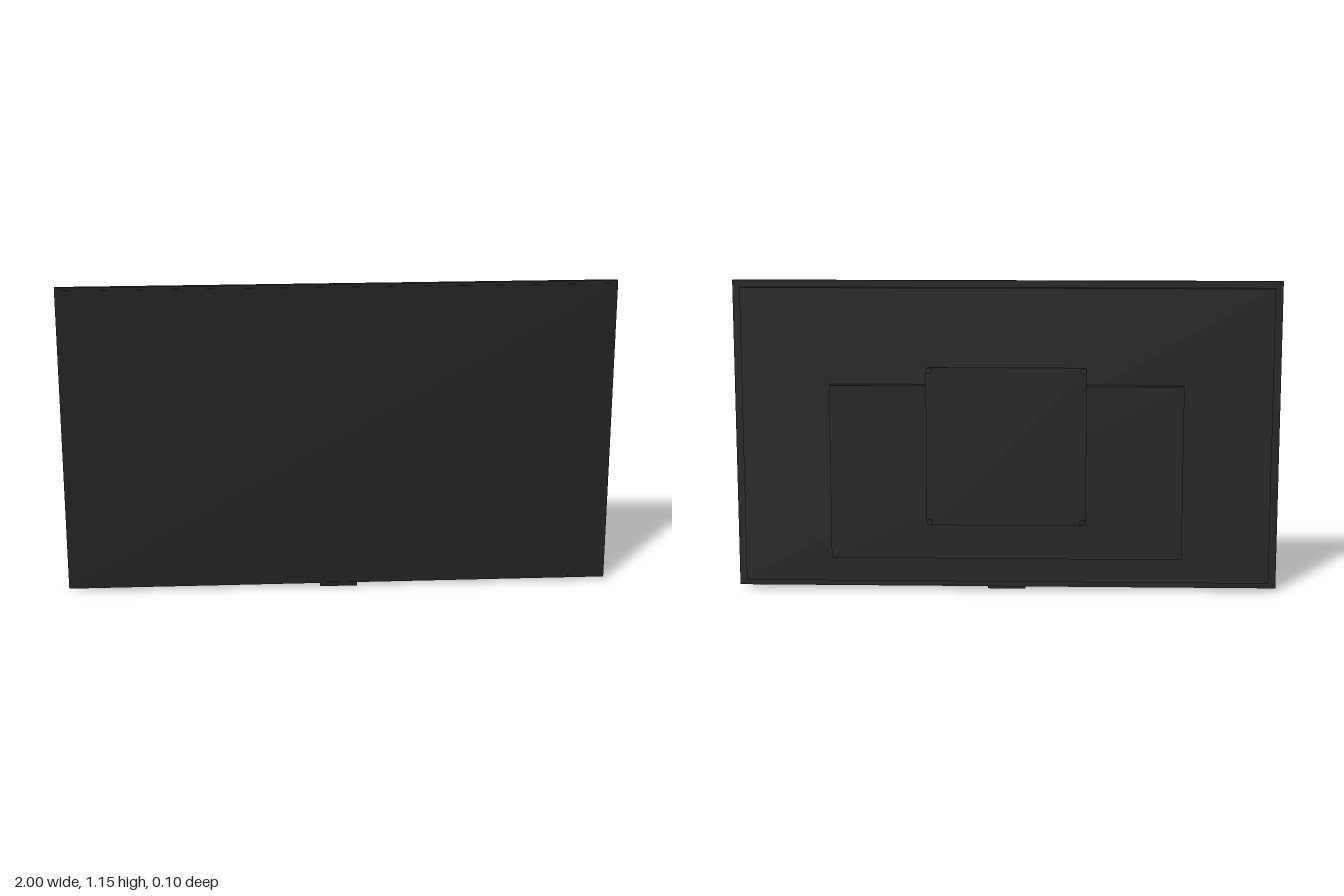
import * as THREE from 'three';

export function createModel() {
  const model = new THREE.Group();
  const body = new THREE.MeshStandardMaterial({ color: 0x222222 });
  body.name = 'matte black casing';
  const glass = new THREE.MeshStandardMaterial({ color: 0x212122 });
  glass.name = 'dark screen';

  // Box given by its lower and upper limits on each axis
  function box(name, [x0, x1], [y0, y1], [z0, z1], material = body) {
    const mesh = new THREE.Mesh(new THREE.BoxGeometry(x1 - x0, y1 - y0, z1 - z0), material);
    mesh.position.set((x0 + x1) / 2, (y0 + y1) / 2, (z0 + z1) / 2);
    mesh.name = name;
    model.add(mesh);
    return mesh;
  }

  // Stepped display casing, from the front to the back
  box('frontPanel', [-1, 1], [0.012, 1.155], [0.031, 0.047]);
  box('screen', [-0.99, 0.99], [0.025, 1.145], [0.047, 0.0485], glass);
  box('rearCasing', [-0.97, 0.97], [0.037, 1.13], [0.004, 0.031]);
  box('electronicsHousing', [-0.645, 0.645], [0.135, 0.778], [-0.037, 0.004]);

  // Wall mount plate with slightly rounded corners
  const w = 0.292, y0 = 0.262, y1 = 0.847, r = 0.012;
  const outline = new THREE.Shape();
  outline.absarc(w - r, y0 + r, r, -Math.PI / 2, 0);
  outline.absarc(w - r, y1 - r, r, 0, Math.PI / 2);
  outline.absarc(-w + r, y1 - r, r, Math.PI / 2, Math.PI);
  outline.absarc(-w + r, y0 + r, r, Math.PI, Math.PI * 1.5);
  const plate = new THREE.Mesh(
    new THREE.ExtrudeGeometry(outline, { depth: 0.006, bevelEnabled: false, curveSegments: 6 }), body);
  plate.position.z = -0.043;
  plate.name = 'mountPlate';
  model.add(plate);

  // Round spacers at the plate corners
  for (const x of [-0.28, 0.28]) {
    for (const y of [0.274, 0.835]) {
      const spacer = new THREE.Mesh(new THREE.CylinderGeometry(0.011, 0.011, 0.008, 20), body);
      spacer.rotation.x = Math.PI / 2;
      spacer.position.set(x, y, -0.045);
      spacer.name = 'mountSpacer';
      model.add(spacer);
    }
  }

  // Small tab under the front edge, and the remote sensor
  box('frontTab', [-0.07, 0.07], [0, 0.016], [0.045, 0.05]);
  box('remoteSensor', [0.86, 0.87], [0.014, 0.02], [0.046, 0.05]);

  return model;
}
